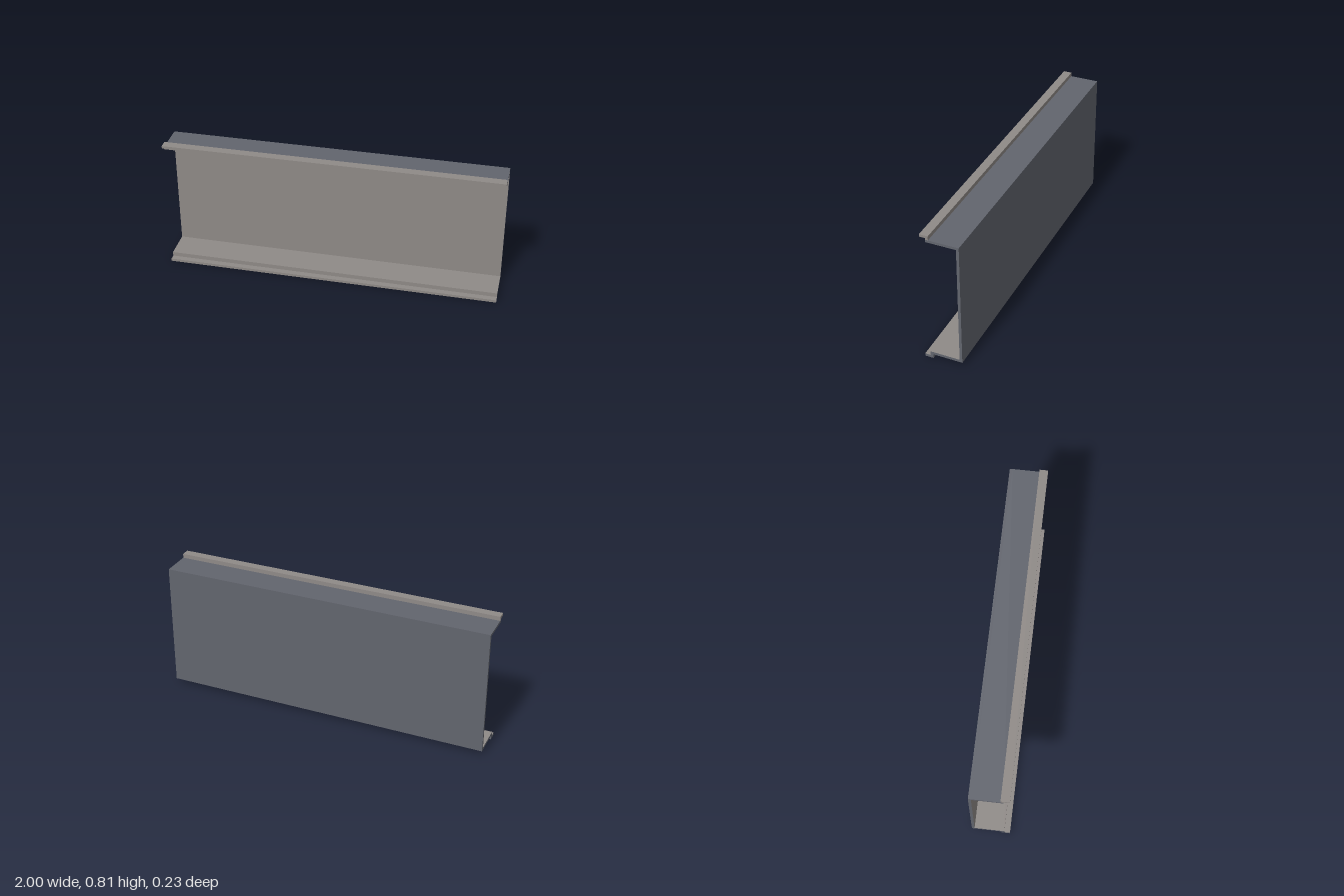
import * as THREE from 'three';

export function createModel() {
  const group = new THREE.Group();
  group.name = 'flangedChannel';

  const outer = new THREE.MeshStandardMaterial({ color: 0x62656e });
  outer.name = 'slate outer face';
  const inner = new THREE.MeshStandardMaterial({ color: 0x8f8a87 });
  inner.name = 'warm grey inner face';

  // Full-length bar given by its cross-section; faces: ends, top, bottom, front, back
  function bar(name, z0, z1, y0, y1, [ends, top, bottom, front, back]) {
    const geometry = new THREE.BoxGeometry(2, y1 - y0, z1 - z0);
    const mesh = new THREE.Mesh(geometry, [ends, ends, top, bottom, front, back]);
    mesh.position.set(0, (y0 + y1) / 2, (z0 + z1) / 2);
    mesh.name = name;
    group.add(mesh);
  }

  const lower = [outer, inner, outer, inner, outer];
  const upper = [inner, inner, inner, inner, inner];

  // Upright panel at the back
  bar('web', -0.113, -0.097, 0.026, 0.787, [outer, outer, outer, inner, outer]);

  // Lower flange stepping down to its lip
  bar('lowerFlange', -0.097, 0.08, 0.026, 0.042, lower);
  bar('lowerStep', 0.063, 0.08, 0.016, 0.026, lower);
  bar('lowerLip', 0.063, 0.114, 0, 0.016, lower);

  // Upper flange stepping up to its lip
  bar('upperFlange', -0.097, 0.08, 0.772, 0.787, [outer, outer, inner, inner, outer]);
  bar('upperStep', 0.063, 0.08, 0.787, 0.797, upper);
  bar('upperLip', 0.063, 0.114, 0.797, 0.812, upper);

  return group;
}
